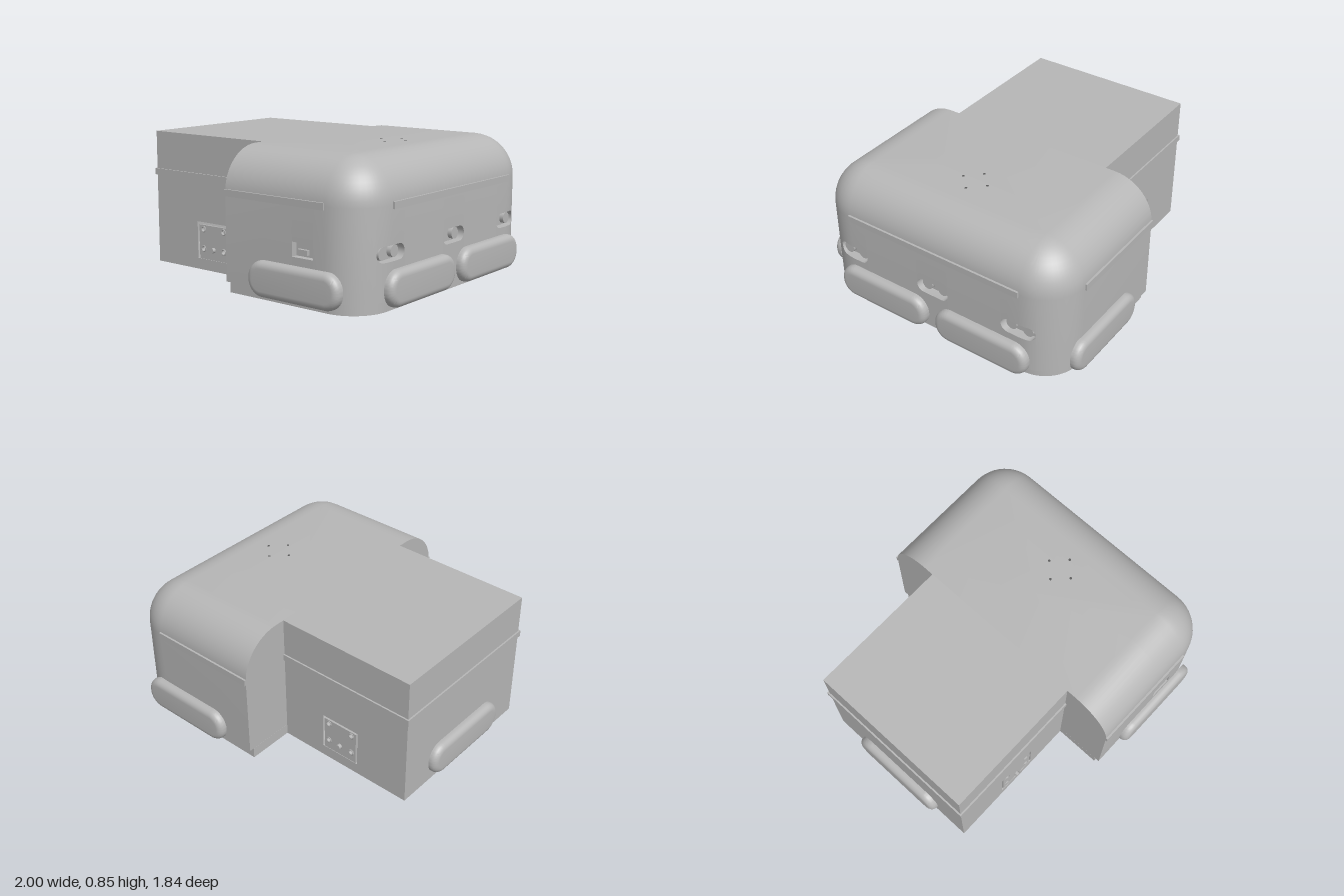
import * as THREE from 'three';
import { toCreasedNormals } from 'three/addons/utils/BufferGeometryUtils.js';

const R = 0.26, XC = 0.685, ZC = 0.61, X0 = -0.035, Y0 = 0.07, Y1 = 0.59, EYE_Y = 0.33;
const EYES = [0.61, 0, -0.6];
const BOX_X = -0.95, BOX_Z = 0.545, TOP = 0.85, WALL = 0.01;

export function createModel() {
  const group = new THREE.Group();
  const body = new THREE.MeshStandardMaterial({ color: 0xb6b6b6 });
  body.name = 'bodyGrey';
  const dark = new THREE.MeshStandardMaterial({ color: 0x5a5a5a });
  dark.name = 'holeGrey';

  const add = (name, geo, x = 0, y = 0, z = 0, mat = body) => {
    const m = new THREE.Mesh(geo, mat);
    m.name = name;
    m.position.set(x, y, z);
    group.add(m);
    return m;
  };
  // box given by its minimum and maximum corners
  const box = (name, x0, x1, y0, y1, z0, z1) => add(name,
    new THREE.BoxGeometry(x1 - x0, y1 - y0, z1 - z0), (x0 + x1) / 2, (y0 + y1) / 2, (z0 + z1) / 2);
  const circle = (x, y, r) => new THREE.Path().absarc(x, y, r, 0, Math.PI * 2, true);
  const rect = (shape, x0, x1, y0, y1) => shape.moveTo(x0, y0).lineTo(x1, y0).lineTo(x1, y1).lineTo(x0, y1).closePath();
  const extrude = (shape, depth) => toCreasedNormals(
    new THREE.ExtrudeGeometry(shape, { depth, bevelEnabled: false, curveSegments: 16 }), 0.5);

  // Rounded head shell with eye slots and a front socket
  add('headShell', headGeometry());

  // Eyes: a pair of lenses in each slot
  const lens = new THREE.CylinderGeometry(0.035, 0.035, 0.035, 28).rotateZ(Math.PI / 2);
  for (const c of EYES) for (const s of [-1, 1]) add('sensorLens', lens, 0.9, EYE_Y, c + s * 0.056);
  box('socketPlug', 0.48, 0.55, 0.3, 0.33, 0.82, 0.85);

  // Base plate, T shaped with rounded corners and drilled holes (shape y is -z)
  const base = new THREE.Shape();
  const bx = 0.91, bz = 0.84, br = 0.23, ix = BOX_X + WALL, iz = BOX_Z - WALL;
  base.moveTo(ix, -iz).lineTo(X0, -iz).lineTo(X0, -bz).lineTo(bx - br, -bz);
  base.absarc(bx - br, -bz + br, br, -Math.PI / 2, 0, false);
  base.absarc(bx - br, bz - br, br, 0, Math.PI / 2, false);
  base.lineTo(X0, bz).lineTo(X0, iz).lineTo(ix, iz).closePath();
  base.holes.push(circle(-0.06, 0, 0.06), circle(0.34, -0.56, 0.06));
  for (const s of [-1, 1]) {
    for (const [x, z] of [[0.705, 0.33], [0.705, 0.47], [-0.37, 0.415], [-0.53, 0.415], [-0.34, 0.5]])
      base.holes.push(circle(x, s * z, 0.008));
  }
  add('basePlate', extrude(base, Y0 - 0.001).rotateX(-Math.PI / 2));

  // Hollow rear box
  box('boxRoof', BOX_X, X0, TOP - WALL, TOP, -BOX_Z, BOX_Z);
  box('boxEndWall', BOX_X, BOX_X + WALL, 0, TOP - WALL, -BOX_Z, BOX_Z);
  const side = rect(new THREE.Shape(), BOX_X + WALL, X0, 0, TOP - WALL);
  side.holes.push(rect(new THREE.Path(), -0.595, -0.33, 0.07, 0.305));
  const sideGeo = extrude(side, WALL);
  add('boxFrontWall', sideGeo, 0, 0, BOX_Z - WALL);
  add('boxBackWall', sideGeo, 0, 0, -BOX_Z);

  // Service panels in the side windows
  const panel = rect(new THREE.Shape(), -0.581, -0.341, 0.07, 0.287);
  for (const x of [-0.547, -0.375]) for (const y of [0.135, 0.26]) panel.holes.push(circle(x, y, 0.014));
  const panelGeo = extrude(panel, 0.012);
  const ring = new THREE.TorusGeometry(0.017, 0.004, 6, 20);
  const knob = new THREE.CylinderGeometry(0.016, 0.016, 0.03, 20).rotateX(Math.PI / 2);
  for (const s of [-1, 1]) {
    add('servicePanel', panelGeo, 0, 0, s * 0.536 - 0.006);
    add('panelKnob', knob, -0.46, 0.135, s * 0.548);
    for (const x of [-0.547, -0.375]) for (const y of [0.135, 0.26]) add('panelHoleRim', ring, x, y, s * 0.542);
  }

  // Trim strips
  const sy = [0.57, 0.61];
  box('endStrip', BOX_X - 0.01, BOX_X, ...sy, -BOX_Z - 0.01, BOX_Z + 0.01);
  box('noseStrip', 0.935, 0.957, ...sy, -0.61, 0.61);
  for (const s of [-1, 1]) {
    const span = (a, b) => [Math.min(s * a, s * b), Math.max(s * a, s * b)];
    box('boxStrip', BOX_X, X0, ...sy, ...span(BOX_Z, BOX_Z + 0.01));
    box('headStrip', X0, 0.685, ...sy, ...span(0.86, 0.881));
  }

  // Bumper pads
  const pad = padGeometry();
  const addPad = (x, z, turn) => { add('bumperPad', pad, x, 0.135, z).rotation.y = turn; };
  addPad(0.485, 0.865, 0);
  addPad(0.485, -0.865, Math.PI);
  for (const z of [0.36, -0.36]) addPad(0.945, z, Math.PI / 2);
  addPad(-0.945, 0, -Math.PI / 2);

  // Small holes in the roof
  const dot = new THREE.CylinderGeometry(0.008, 0.008, 0.002, 16);
  for (const [x, z] of [[0.425, 0], [0.6, 0], [0.512, 0.087], [0.512, -0.087]])
    add('roofHole', dot, x, TOP, z, dark);
  return group;
}

// Rounded pad with a soft front edge and a flat back
function padGeometry() {
  const w = 0.325, h = 0.105, r = 0.1, b = 0.04;
  const s = new THREE.Shape();
  s.absarc(w - r, -h + r, r, -Math.PI / 2, 0, false);
  s.absarc(w - r, h - r, r, 0, Math.PI / 2, false);
  s.absarc(-w + r, h - r, r, Math.PI / 2, Math.PI, false);
  s.absarc(-w + r, -h + r, r, Math.PI, Math.PI * 1.5, false);
  const g = new THREE.ExtrudeGeometry(s, {
    depth: 0.015, bevelThickness: b, bevelSize: b, bevelOffset: -b, bevelSegments: 6, curveSegments: 10 });
  const p = g.attributes.position;
  for (let i = 0; i < p.count; i++) p.setZ(i, Math.max(0, p.getZ(i)));
  return toCreasedNormals(g, 0.6);
}

// Head: columns run round the outline, each offset from a core point by a radius
function headGeometry() {
  const H = Math.PI / 2, cols = [];
  const col = (cx, cz, a) => cols.push({ cx, cz, a });
  for (const x of [X0, 0.46, 0.61]) col(x, ZC, H);
  col(X0, -ZC, -H);
  for (let k = 0; k <= 12; k++) {
    col(XC, ZC, H * (1 - k / 12));
    col(XC, -ZC, -H * k / 12);
  }
  for (const c of EYES) for (const s of [-1, 1]) for (let k = 0; k <= 6; k++) {
    const z = c + s * (0.067 + 0.045 * Math.sin(H * k / 6));
    const over = Math.max(0, Math.abs(z) - ZC) * Math.sign(z);
    col(XC, z - over, Math.asin(over / R));
  }
  cols.sort((p, q) => q.a - p.a || Math.sign(p.a) * (p.cx - q.cx) || q.cz - p.cz);

  const at = (c, y, r = R) => [c.cx + r * Math.cos(c.a), y, c.cz + r * Math.sin(c.a)];
  // which opening a column crosses, and its half height there
  for (const c of cols) {
    const z = at(c, 0)[2];
    c.hole = -1;
    if (c.a === H && c.cx > 0.45 && c.cx < 0.62) { c.hole = 9; c.h = 0.042; }
    if (Math.abs(c.a) < 1) EYES.forEach((e, i) => {
      const u = Math.abs(z - e);
      if (u < 0.1121) { c.hole = i; c.h = Math.sqrt(Math.max(0, 0.045 ** 2 - Math.max(0, u - 0.067) ** 2)); }
    });
  }

  const pos = [], A = new THREE.Vector3(), B = new THREE.Vector3(), C = new THREE.Vector3();
  const tri = (a, b, c) => {
    A.set(...a); B.set(...b).sub(A); C.set(...c).sub(A);
    if (B.cross(C).length() > 1e-8) pos.push(...a, ...b, ...c);
  };
  const quad = (a, b, c, d) => { tri(a, b, c); tri(a, c, d); };
  const deep = (c, y) => { const p = at(c, y); return c.hole === 9 ? [p[0], y, 0.83] : [0.89, y, p[2]]; };
  const lo = c => EYE_Y - c.h, hi = c => EYE_Y + c.h;

  // Vertical wall with recessed openings
  for (let i = 0; i + 1 < cols.length; i++) {
    const p = cols[i], q = cols[i + 1];
    if (p.hole < 0 || p.hole !== q.hole) {
      quad(at(p, Y0), at(q, Y0), at(q, Y1), at(p, Y1));
      continue;
    }
    quad(at(p, Y0), at(q, Y0), at(q, lo(q)), at(p, lo(p)));
    quad(at(p, hi(p)), at(q, hi(q)), at(q, Y1), at(p, Y1));
    quad(at(p, lo(p)), at(q, lo(q)), deep(q, lo(q)), deep(p, lo(p)));
    quad(deep(p, hi(p)), deep(q, hi(q)), at(q, hi(q)), at(p, hi(p)));
    quad(deep(p, lo(p)), deep(q, lo(q)), deep(q, hi(q)), deep(p, hi(p)));
    if (p.hole === 9) {
      quad(at(p, lo(p)), deep(p, lo(p)), deep(p, hi(p)), at(p, hi(p)));
      quad(deep(q, lo(q)), at(q, lo(q)), at(q, hi(q)), deep(q, hi(q)));
    }
  }
  // Rounded shoulder, rear face, roof and underside
  const n = cols.length, first = cols[0], last = cols[n - 1];
  const levels = [[Y0, R]];
  for (let k = 0; k <= 12; k++) levels.push([Y1 + R * Math.sin(H * k / 12), k === 12 ? 0 : R * Math.cos(H * k / 12)]);
  for (let k = 0; k + 1 < levels.length; k++) {
    const [y, r] = levels[k], [Y, S] = levels[k + 1];
    if (k > 0) for (let i = 0; i + 1 < n; i++)
      quad(at(cols[i], y, r), at(cols[i + 1], y, r), at(cols[i + 1], Y, S), at(cols[i], Y, S));
    quad(at(last, y, r), at(first, y, r), at(first, Y, S), at(last, Y, S));
  }
  for (let i = 0; i < n; i++) {
    const p = cols[i], q = cols[(i + 1) % n];
    tri(at(p, TOP, 0), at(q, TOP, 0), [0.3, TOP, 0]);
    tri(at(q, Y0), at(p, Y0), [0.3, Y0, 0]);
  }
  const g = new THREE.BufferGeometry();
  g.setAttribute('position', new THREE.Float32BufferAttribute(pos, 3));
  return toCreasedNormals(g, 0.5);
}
